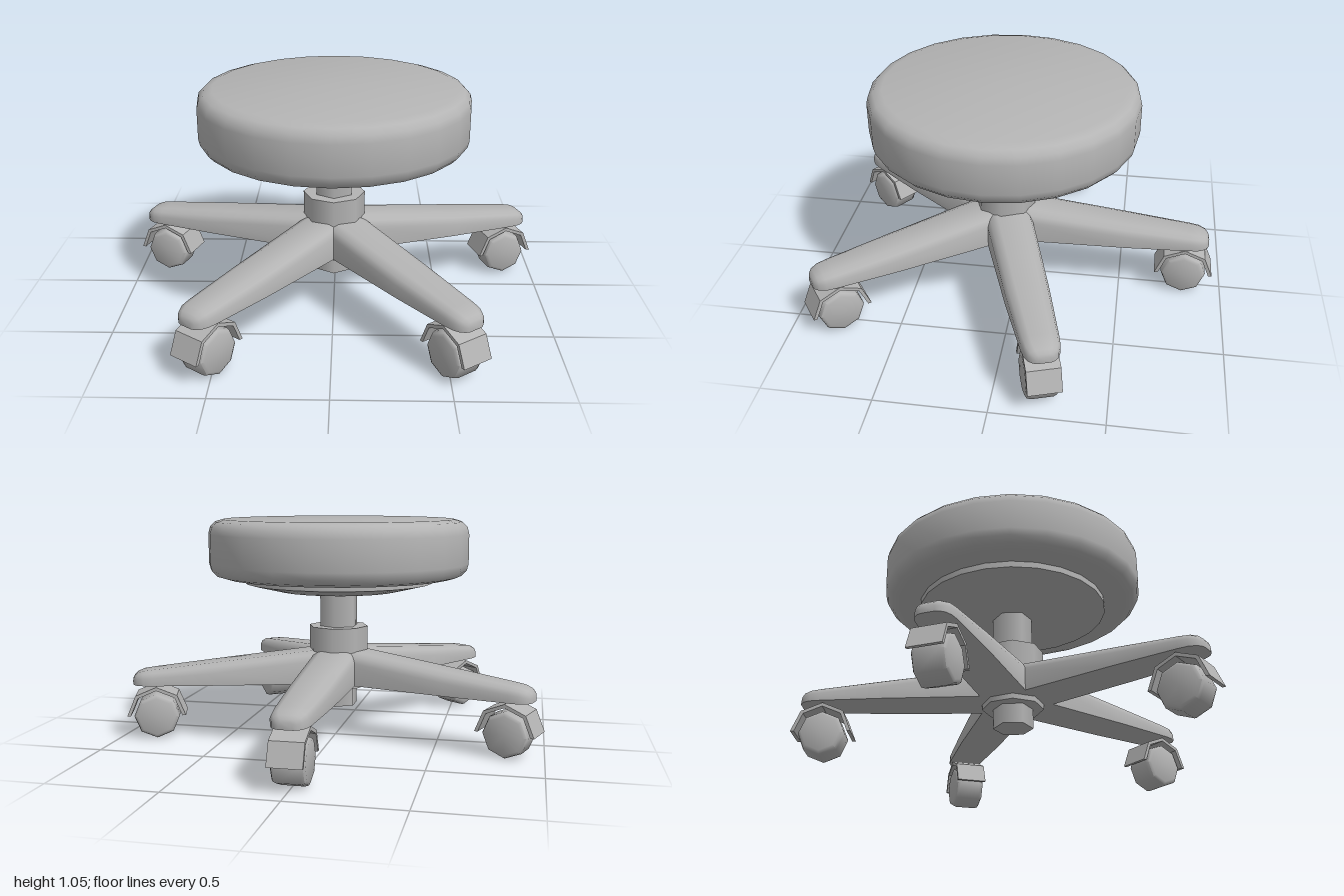
import * as THREE from 'three';
import { toCreasedNormals } from 'three/addons/utils/BufferGeometryUtils.js';

const grey = new THREE.MeshStandardMaterial({ color: 0xb4b4b4 });
grey.name = 'grey';

function part(name, geometry, y = 0) {
  const mesh = new THREE.Mesh(geometry, grey);
  mesh.name = name;
  mesh.position.y = y;
  return mesh;
}

function lathe(points, sides, crease) {
  const profile = points.map(([r, y]) => new THREE.Vector2(r, y));
  return toCreasedNormals(new THREE.LatheGeometry(profile, sides), crease);
}

// Arm lofted along -z: flat underside, bevelled top, rounded tip
function armGeometry() {
  const bottom = 0.26;
  // [distance from centre, half width, top height]
  const stations = [
    [0, 0.114, 0.43], [0.6, 0.1, 0.365], [0.9, 0.084, 0.332],
    [0.945, 0.078, 0.326], [0.975, 0.064, 0.315], [0.99, 0.046, 0.302], [0.996, 0.03, 0.29],
  ];
  const positions = [], index = [], n = 8;
  for (const [r, w, top] of stations) {
    const h = top - bottom, b = Math.min(0.045, h * 0.5);
    const ring = [
      [-w, bottom], [-w, top - b], [-w * 0.87, top - b * 0.35], [-w * 0.55, top],
      [w * 0.55, top], [w * 0.87, top - b * 0.35], [w, top - b], [w, bottom],
    ];
    for (const [x, y] of ring) positions.push(x, y, -r);
  }
  for (let s = 0; s < stations.length - 1; s++) {
    for (let i = 0; i < n; i++) {
      const a = s * n + i, b = s * n + (i + 1) % n;
      index.push(a, b, b + n, a, b + n, a + n);
    }
  }
  const end = (stations.length - 1) * n;
  for (let i = 1; i < n - 1; i++) index.push(end, end + i, end + i + 1);
  const g = new THREE.BufferGeometry();
  g.setAttribute('position', new THREE.Float32BufferAttribute(positions, 3));
  g.setIndex(index);
  return toCreasedNormals(g, 0.9);
}

// Thin arched cover: half an octagonal band
function coverGeometry() {
  const shape = new THREE.Shape();
  const arc = (r, i) => [r * Math.cos(i * Math.PI / 4), r * Math.sin(i * Math.PI / 4)];
  shape.moveTo(...arc(0.139, 0));
  for (let i = 1; i <= 4; i++) shape.lineTo(...arc(0.139, i));
  for (let i = 4; i >= 0; i--) shape.lineTo(...arc(0.122, i));
  shape.closePath();
  const g = new THREE.ExtrudeGeometry(shape, { depth: 0.15, bevelEnabled: false });
  g.translate(0, 0, -0.075);
  g.rotateY(Math.PI / 2);
  return g;
}

// Eight-sided wheel with softened rims, axle along x
function wheelGeometry() {
  const g = lathe([
    [0, -0.073], [0.088, -0.073], [0.102, -0.066], [0.108, -0.05],
    [0.108, 0.05], [0.102, 0.066], [0.088, 0.073], [0, 0.073],
  ], 8, 0.85);
  g.rotateZ(Math.PI / 2);
  return g;
}

export function createModel() {
  const model = new THREE.Group();
  model.name = 'rollingStool';
  const stool = new THREE.Group();
  stool.name = 'stool';
  stool.position.z = 0.075;
  model.add(stool);

  // Cushion and the dished plate beneath it
  stool.add(part('seat', lathe([
    [0, 0.772], [0.555, 0.772], [0.595, 0.784], [0.618, 0.808], [0.626, 0.84],
    [0.626, 0.98], [0.618, 1.012], [0.595, 1.036], [0.555, 1.048], [0, 1.048],
  ], 24, 0.6)));
  stool.add(part('seatPlate', lathe([
    [0, 0.706], [0.3, 0.706], [0.454, 0.743], [0.454, 0.776], [0, 0.776],
  ], 24, 0.3)));

  // Gas column and hub
  stool.add(part('column', new THREE.CylinderGeometry(0.094, 0.094, 0.58, 6), 0.43));
  stool.add(part('hub', new THREE.CylinderGeometry(0.145, 0.145, 0.295, 8), 0.3825));

  // Five legs with casters
  const arm = armGeometry(), cover = coverGeometry(), wheel = wheelGeometry();
  for (let i = 0; i < 5; i++) {
    const leg = new THREE.Group();
    leg.name = 'leg' + (i + 1);
    leg.rotation.y = i * Math.PI * 2 / 5;
    const caster = new THREE.Group();
    caster.name = 'caster';
    caster.position.set(0, 0.108, -0.885);
    caster.add(part('casterCover', cover, 0.005), part('wheel', wheel));
    leg.add(part('arm', arm), caster);
    stool.add(leg);
  }
  return model;
}
